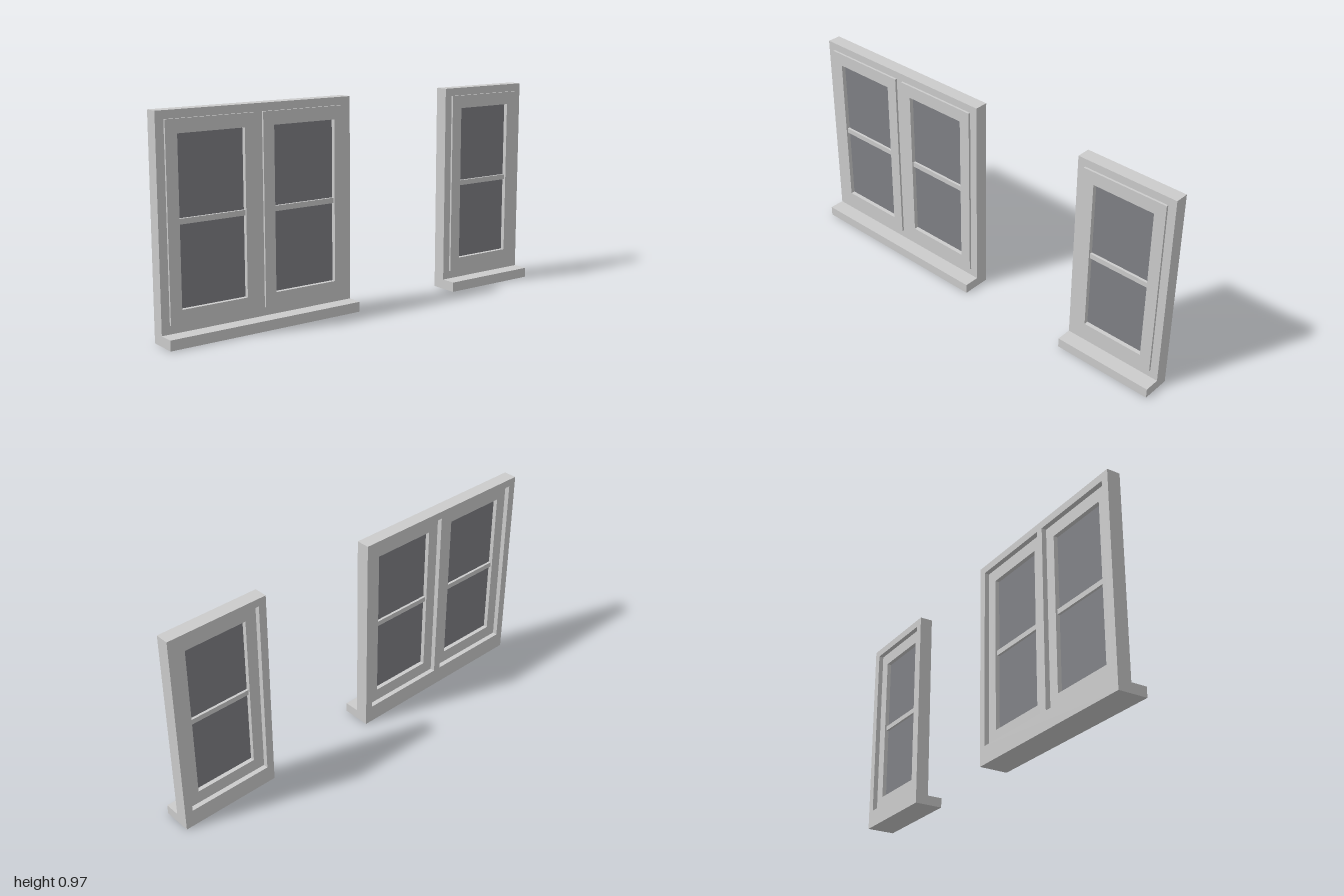
import * as THREE from 'three';

const grey = new THREE.MeshStandardMaterial({ color: 0xcccccc });
const glassGrey = new THREE.MeshStandardMaterial({ color: 0x7f8085 });

// Box given by its limits on each axis
function box(name, x0, x1, y0, y1, z0, z1, material = grey) {
  const mesh = new THREE.Mesh(new THREE.BoxGeometry(x1 - x0, y1 - y0, z1 - z0), material);
  mesh.position.set((x0 + x1) / 2, (y0 + y1) / 2, (z0 + z1) / 2);
  mesh.name = name;
  return mesh;
}

function trace(path, x0, x1, y0, y1) {
  path.moveTo(x0, y0);
  path.lineTo(x1, y0);
  path.lineTo(x1, y1);
  path.lineTo(x0, y1);
  path.closePath();
  return path;
}

// Rectangular slab with rectangular openings
function pierced(name, [x0, x1, y0, y1], holes, z0, z1) {
  const shape = trace(new THREE.Shape(), x0, x1, y0, y1);
  for (const h of holes) shape.holes.push(trace(new THREE.Path(), ...h));
  const geometry = new THREE.ExtrudeGeometry(shape, { depth: z1 - z0, bevelEnabled: false });
  geometry.translate(0, 0, z0);
  const mesh = new THREE.Mesh(geometry, grey);
  mesh.name = name;
  return mesh;
}

// Sash with its pane and middle glazing bar
function createSash([x0, x1, y0, y1]) {
  const sash = new THREE.Group();
  sash.name = 'sash';
  const side = 0.054, rail = 0.06;
  const pane = [x0 + side, x1 - side, y0 + rail, y1 - rail];
  sash.add(pierced('sashFrame', [x0, x1, y0, y1], [pane], -0.045, 0.005));
  sash.add(box('glass', ...pane, -0.025, -0.015, glassGrey));
  sash.add(box('glazingBar', pane[0], pane[1], 0.5, 0.524, -0.037, -0.003));
  return sash;
}

// Outer frame, projecting sill and one sash per light
function createWindow(name, x0, x1, lights) {
  const win = new THREE.Group();
  win.name = name;
  const openings = lights.map(([a, b]) => [a, b, 0.084, 0.934]);
  win.add(pierced('outerFrame', [x0, x1, 0, 0.97], openings, -0.068, -0.005));
  win.add(box('sill', x0, x1, 0, 0.046, -0.005, 0.068));
  for (const opening of openings) win.add(createSash(opening));
  return win;
}

export function createModel() {
  const model = new THREE.Group();
  model.name = 'windows';
  model.add(createWindow('doubleWindow', -1, -0.044, [[-0.962, -0.539], [-0.502, -0.081]]));
  model.add(createWindow('singleWindow', 0.518, 1, [[0.555, 0.962]]));
  return model;
}
